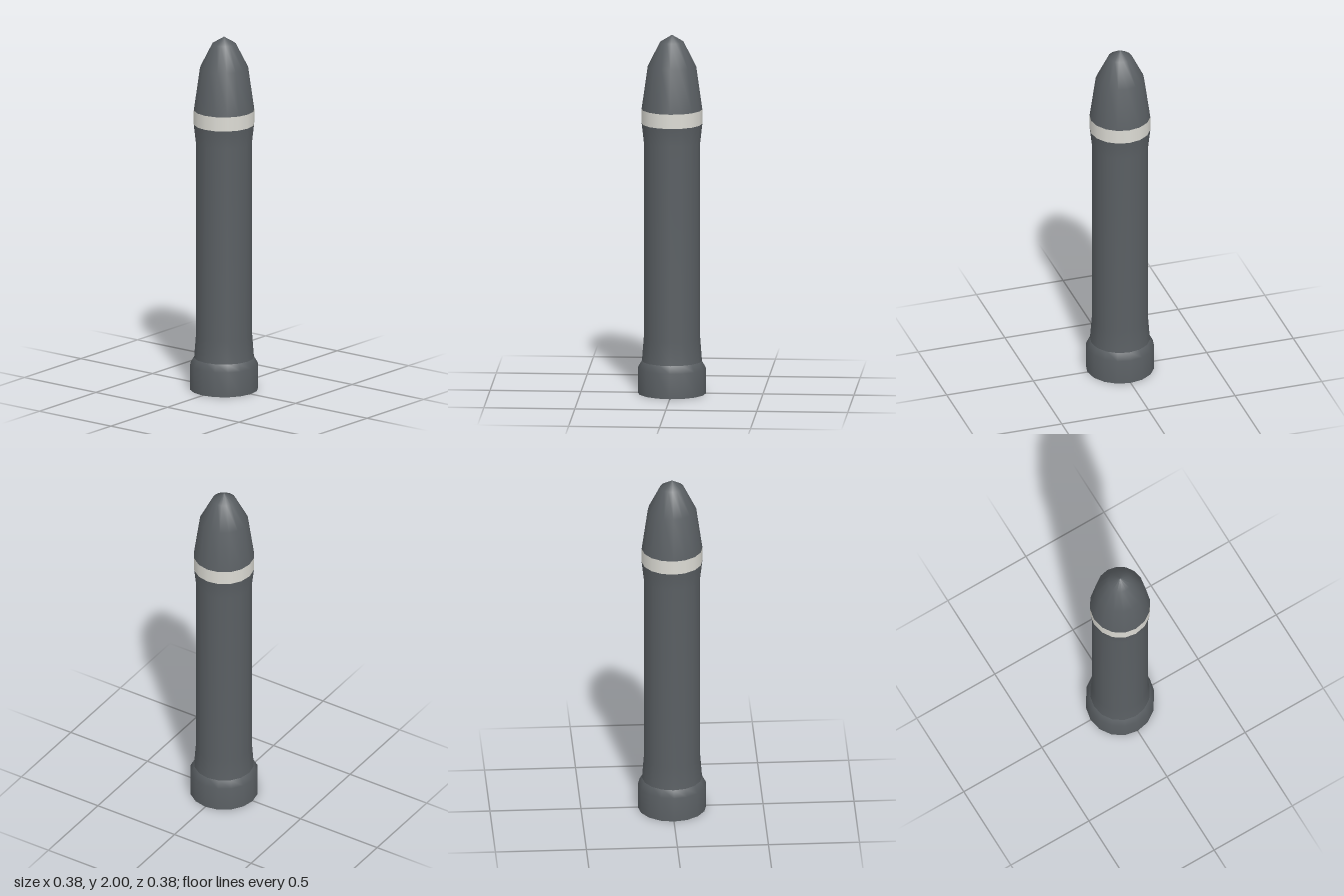
import * as THREE from 'three';

const SIDES = 16;

export function createModel() {
  const group = new THREE.Group();
  const darkGrey = new THREE.MeshStandardMaterial({ color: 0x5a5f63 });
  darkGrey.name = 'dark grey';
  const paleGrey = new THREE.MeshStandardMaterial({ color: 0xdcdbd4 });
  paleGrey.name = 'pale grey';

  const add = (name, geometry, material) => {
    const mesh = new THREE.Mesh(geometry, material);
    mesh.name = name;
    group.add(mesh);
    return mesh;
  };

  // Turns a [radius, height] profile, listed from bottom to top
  const turned = (name, profile, material) =>
    add(name, new THREE.LatheGeometry(profile.map(([r, y]) => new THREE.Vector2(r, y)), SIDES), material);

  // Flared skirt at the foot
  turned('baseSkirt', [[0.188, 0], [0.188, 0.14], [0.165, 0.18]], darkGrey);

  // Long straight body, widening slightly at both ends
  turned('body', [[0.165, 0.18], [0.155, 0.31], [0.155, 1.4], [0.167, 1.505]], darkGrey);

  // Pale band below the nose
  turned('band', [[0.167, 1.505], [0.167, 1.585]], paleGrey);

  // Tapered nose
  turned('nose', [[0.167, 1.585], [0.133, 1.825], [0.065, 1.96], [0, 2]], darkGrey);

  // Flat underside
  const underside = add('underside', new THREE.CircleGeometry(0.188, SIDES), darkGrey);
  underside.rotation.x = Math.PI / 2;

  return group;
}
